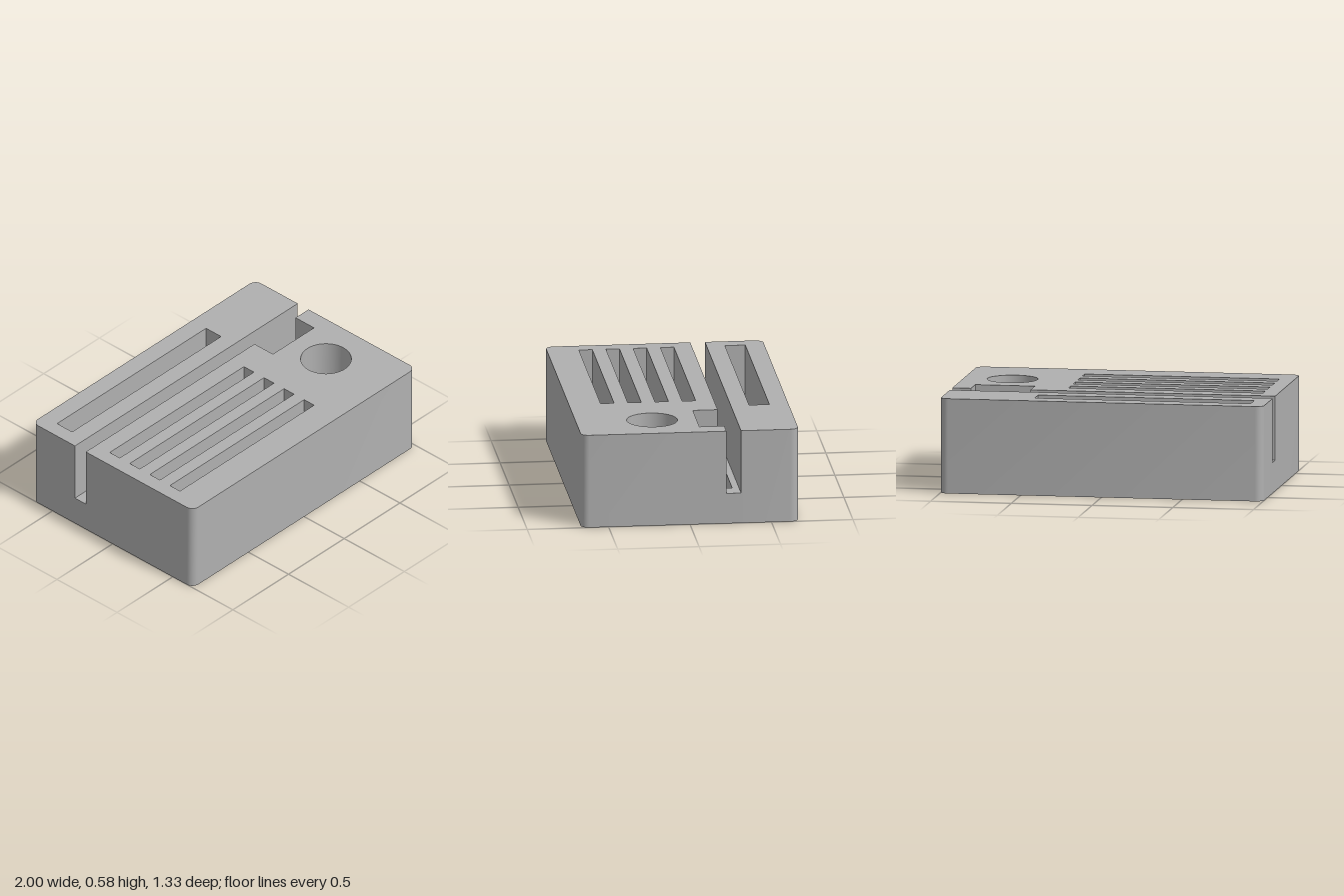
import * as THREE from 'three';
import { mergeGeometries, toCreasedNormals } from 'three/addons/utils/BufferGeometryUtils.js';

// Plan coordinates are [x, v] with v = -z
const W = 1, D = 0.667, H = 0.585, R = 0.05;
const GROOVE_Y = 0.19, POCKET_Y = 0.1;
const G0 = 0.223, G1 = 0.313; // groove edges
const P = { x0: 0.515, x1: 0.884, v0: 0.07, v1: 0.272 }; // rectangular pocket

const arc = (cx, cv, r, from, to, n) => Array.from({ length: n + 1 }, (_, i) => {
  const a = from + (to - from) * i / n;
  return [cx + r * Math.cos(a), cv + r * Math.sin(a)];
});
const rect = (x0, x1, v0, v1) => [[x0, v0], [x1, v0], [x1, v1], [x0, v1]];

// Horizontal face, with optional holes
function face(points, y, holes = []) {
  const toVec = (l) => l.map(([x, v]) => new THREE.Vector2(x, v));
  const shape = new THREE.Shape(toVec(points));
  shape.holes = holes.map((h) => new THREE.Path(toVec(h)));
  const g = new THREE.ShapeGeometry(shape).toNonIndexed().rotateX(-Math.PI / 2).translate(0, y, 0);
  g.deleteAttribute('uv');
  return g;
}

// Vertical wall along a path; it faces the right of the direction of travel
function wall(path, y0, y1, closed = false) {
  const pts = closed ? [...path, path[0]] : path;
  const pos = [], index = [];
  pts.forEach(([x, v], i) => {
    pos.push(x, y0, -v, x, y1, -v);
    if (i) {
      const a = 2 * i - 2;
      index.push(a, a + 2, a + 3, a, a + 3, a + 1);
    }
  });
  const g = new THREE.BufferGeometry();
  g.setAttribute('position', new THREE.Float32BufferAttribute(pos, 3));
  g.setIndex(index);
  return toCreasedNormals(g, 0.6);
}

export function createModel() {
  const model = new THREE.Group();
  const grey = new THREE.MeshStandardMaterial({ color: 0xb0b0b0, side: THREE.DoubleSide });
  grey.name = 'grey';
  const add = (name, geometries) => {
    const mesh = new THREE.Mesh(mergeGeometries(geometries), grey);
    mesh.name = name;
    model.add(mesh);
  };

  // Outer outlines of the two blocks on either side of the groove
  const q = Math.PI / 2;
  const frontPath = [[-W, G0], ...arc(-W + R, -D + R, R, 2 * q, 3 * q, 8),
    ...arc(W - R, -D + R, R, 3 * q, 4 * q, 8), [W, G0]];
  const backPath = [[W, G1], ...arc(W - R, D - R, R, 0, q, 8),
    ...arc(-W + R, D - R, R, q, 2 * q, 8), [-W, G1]];
  const notch = [[P.x1, G0], [P.x1, P.v0], [P.x0, P.v0], [P.x0, G0]];

  // Recesses cut into the top
  const slots = [];
  for (let i = 0; i < 4; i++) {
    const v = 0.112 - i * 0.167;
    slots.push(rect(-0.905, 0.3, v - 0.083, v));
  }
  const longSlot = rect(-0.905, 0.433, 0.425, 0.55);
  const roundHole = arc(0.7, -0.2, 0.155, 0, 4 * q, 64).slice(0, -1);

  add('outerWalls', [
    wall(frontPath, 0, H), wall(backPath, 0, H),
    wall([[W, G0], [W, G1]], 0, GROOVE_Y), wall([[-W, G1], [-W, G0]], 0, GROOVE_Y),
  ]);
  add('underside', [face([...frontPath, ...backPath], 0).rotateZ(Math.PI)]);
  add('frontTop', [face([...frontPath, ...notch], H, [...slots, roundHole])]);
  add('backTop', [face(backPath, H, [longSlot])]);

  // Through groove, open at both sides
  add('groove', [
    face([[-W, G0], [P.x0, G0], [P.x0, P.v1], [P.x1, P.v1], [P.x1, G0], [W, G0], [W, G1], [-W, G1]], GROOVE_Y),
    wall([[-W, G1], [W, G1]], GROOVE_Y, H),
    wall([[W, G0], [P.x1, G0]], GROOVE_Y, H),
    wall([[P.x0, G0], [-W, G0]], GROOVE_Y, H),
  ]);

  // Rectangular pocket, running into the groove
  add('rectangularPocket', [
    face(rect(P.x0, P.x1, P.v0, P.v1), POCKET_Y),
    wall(notch, POCKET_Y, H),
    wall([[P.x0, G0], [P.x0, P.v1], [P.x1, P.v1], [P.x1, G0]], POCKET_Y, GROOVE_Y),
  ]);

  // Closed recesses
  const recess = (name, loop) => add(name, [
    face(loop, POCKET_Y), wall([...loop].reverse(), POCKET_Y, H, true),
  ]);
  slots.forEach((s, i) => recess('slot' + (i + 1), s));
  recess('longSlot', longSlot);
  recess('roundHole', roundHole);
  return model;
}
